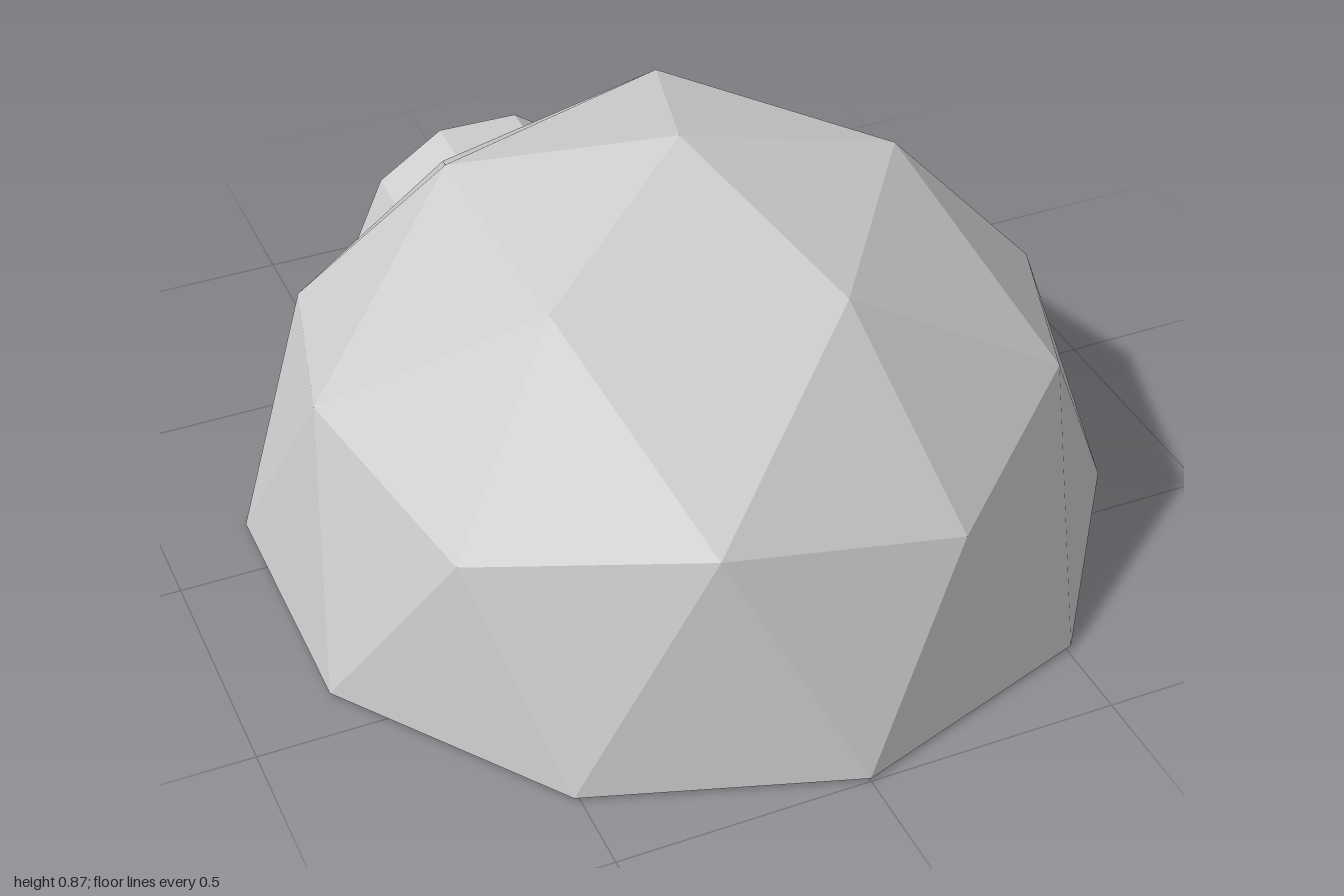
import * as THREE from 'three';

const R = 0.868;            // dome radius
const BASE = 0.005, CENTRE_Z = 0.13;

// Geodesic half sphere: five identical wedges round a vertical axis
function domeGeometry() {
  const pos = [];
  const point = (lat, deg) => {
    const a = THREE.MathUtils.degToRad(deg), l = THREE.MathUtils.degToRad(lat);
    return [R * Math.cos(l) * Math.cos(a), R * Math.sin(l), R * Math.cos(l) * Math.sin(a)];
  };
  const tri = (a, b, c) => pos.push(...a, ...b, ...c);
  const apex = [0, R, 0], centre = [0, 0, 0];
  for (let k = 0; k < 5; k++) {
    const d = 72 * k;
    const m0 = point(58.28, d), m1 = point(58.28, d + 72);   // upper ring
    const v0 = point(26.57, d), v1 = point(26.57, d + 72);   // middle ring corners
    const e = point(31.72, d + 36);                          // middle ring midpoint
    const qa = point(0, d - 18), qb = point(0, d + 18), qc = point(0, d + 54); // base ring
    tri(apex, m1, m0);
    tri(m0, m1, e);
    tri(m0, e, v0);
    tri(m1, v1, e);
    tri(v0, qb, qa);
    tri(v0, e, qb);
    tri(e, qc, qb);
    tri(e, v1, qc);
    // floor
    tri(centre, qa, qb);
    tri(centre, qb, qc);
  }
  const g = new THREE.BufferGeometry();
  g.setAttribute('position', new THREE.Float32BufferAttribute(pos, 3));
  g.computeVertexNormals();
  return g;
}

// Entrance tunnel: a half decagon drawn out into the dome
function tunnelGeometry() {
  const shape = new THREE.Shape();
  for (let i = 0; i <= 5; i++) {
    const a = (i * Math.PI) / 5;
    const x = 0.305 * Math.cos(a) * (i % 5 ? 0.95 : 1), y = 0.273 * Math.sin(a);
    if (i) shape.lineTo(x, y); else shape.moveTo(x, y);
  }
  shape.closePath();
  return new THREE.ExtrudeGeometry(shape, { depth: 0.42, bevelEnabled: false });
}

export function createModel() {
  const group = new THREE.Group();
  const material = new THREE.MeshStandardMaterial({ color: 0xcccccc, flatShading: true });

  const dome = new THREE.Mesh(domeGeometry(), material);
  dome.name = 'dome';
  dome.position.set(0, BASE, CENTRE_Z);
  group.add(dome);

  const tunnel = new THREE.Mesh(tunnelGeometry(), material);
  tunnel.name = 'entranceTunnel';
  tunnel.position.set(0, 0, -0.993);
  tunnel.rotation.y = -0.024;
  group.add(tunnel);

  return group;
}
